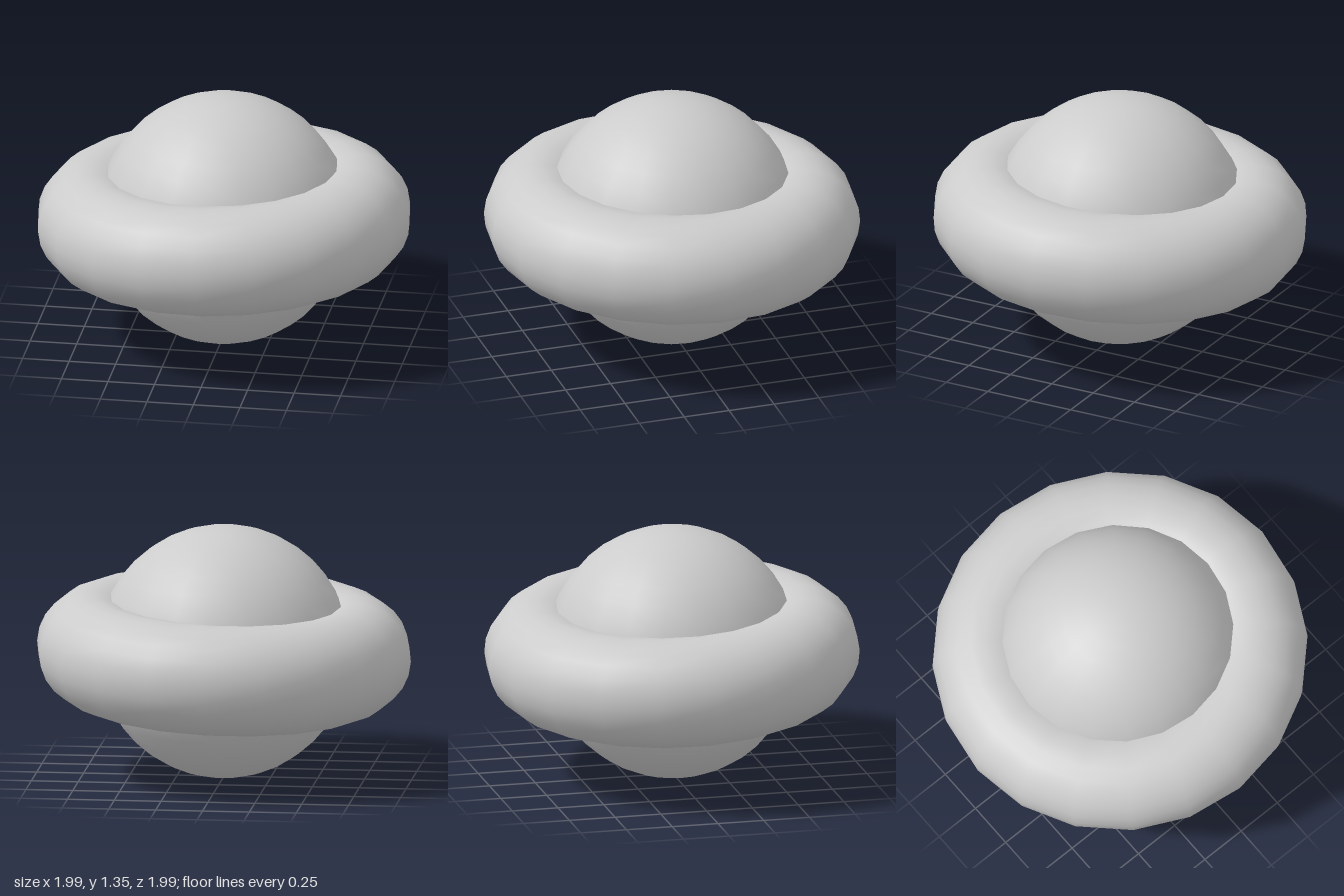
import * as THREE from 'three';

export function createModel() {
  const model = new THREE.Group();
  model.name = 'ringedPlanet';
  const material = new THREE.MeshStandardMaterial({ color: 0xcccccc });
  const radius = 0.675;

  // Round core
  const planet = new THREE.Mesh(new THREE.SphereGeometry(radius, 20, 20), material);
  planet.name = 'planet';
  planet.position.y = radius;
  model.add(planet);

  // Thick ring around the middle, tipped slightly up towards +x and +z
  const tilt = 0.037;
  const ringGeometry = new THREE.TorusGeometry(0.706, 0.292, 24, 20).rotateX(-Math.PI / 2);
  const ring = new THREE.Mesh(ringGeometry, material);
  ring.name = 'ring';
  ring.position.set(0, radius, -0.003);
  ring.rotation.set(-tilt, 0, tilt);
  model.add(ring);

  return model;
}
